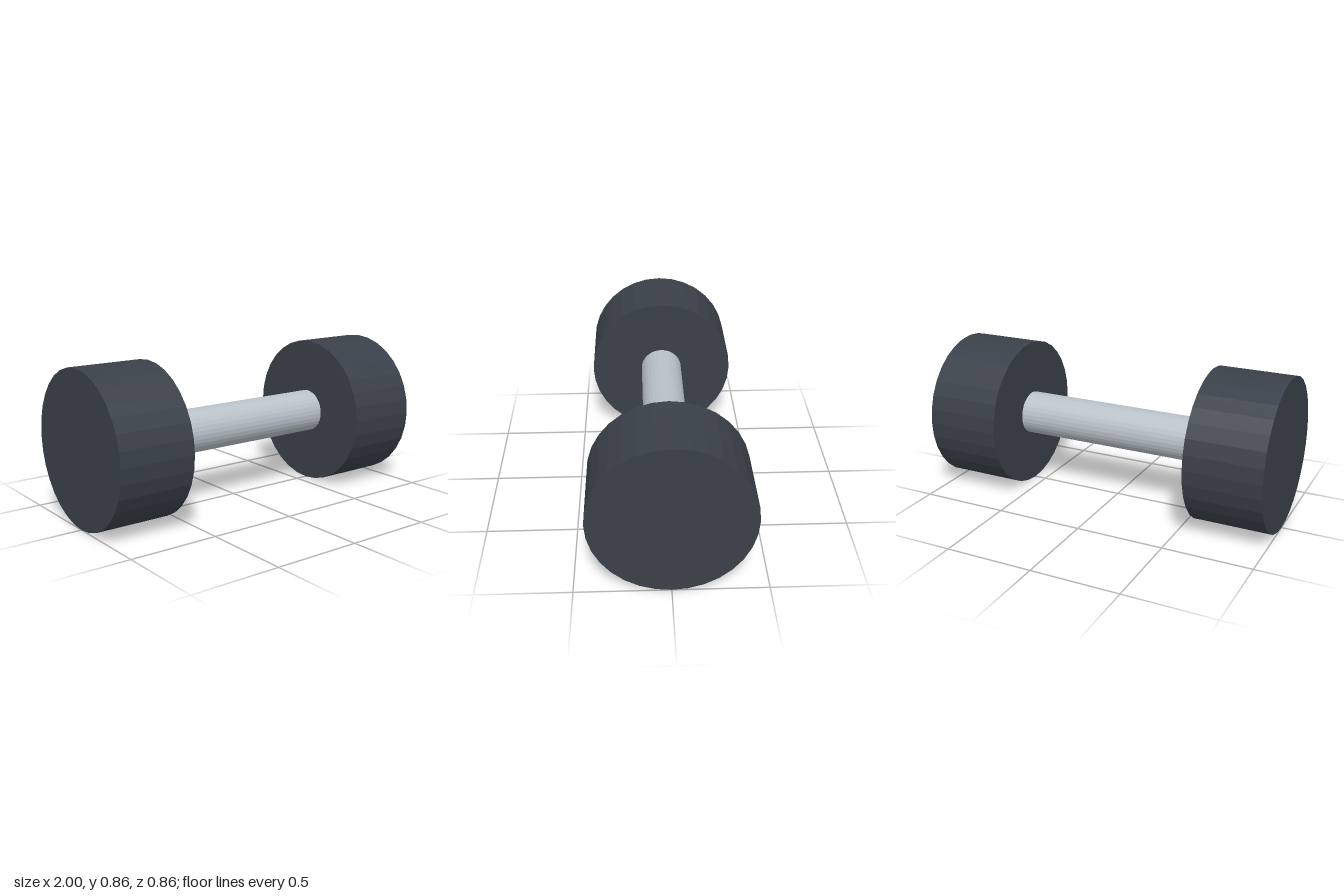
import * as THREE from 'three';

export function createModel() {
  const model = new THREE.Group();
  model.name = 'dumbbell';

  const iron = new THREE.MeshStandardMaterial({ color: 0x3a4049, flatShading: true });
  iron.name = 'dark iron';
  const steel = new THREE.MeshStandardMaterial({ color: 0xb9c1c9, flatShading: true });
  steel.name = 'light steel';

  const radius = 0.4286;
  const width = 0.4286;
  const sides = 32;

  // Cylinder lying along x, at the height of the dumbbell's axis
  function addRod(name, r, length, x, material) {
    const geometry = new THREE.CylinderGeometry(r, r, length, sides);
    geometry.rotateZ(Math.PI / 2);
    const mesh = new THREE.Mesh(geometry, material);
    mesh.name = name;
    mesh.position.set(x, radius, 0);
    model.add(mesh);
  }

  // Grip, reaching slightly into both weights
  addRod('handle', 0.124, 2 - 2 * width + 0.02, 0, steel);

  // Weights at both ends
  for (const [name, side] of [['leftWeight', 1], ['rightWeight', -1]]) {
    addRod(name, radius, width, side * (1 - width / 2), iron);
  }

  return model;
}
